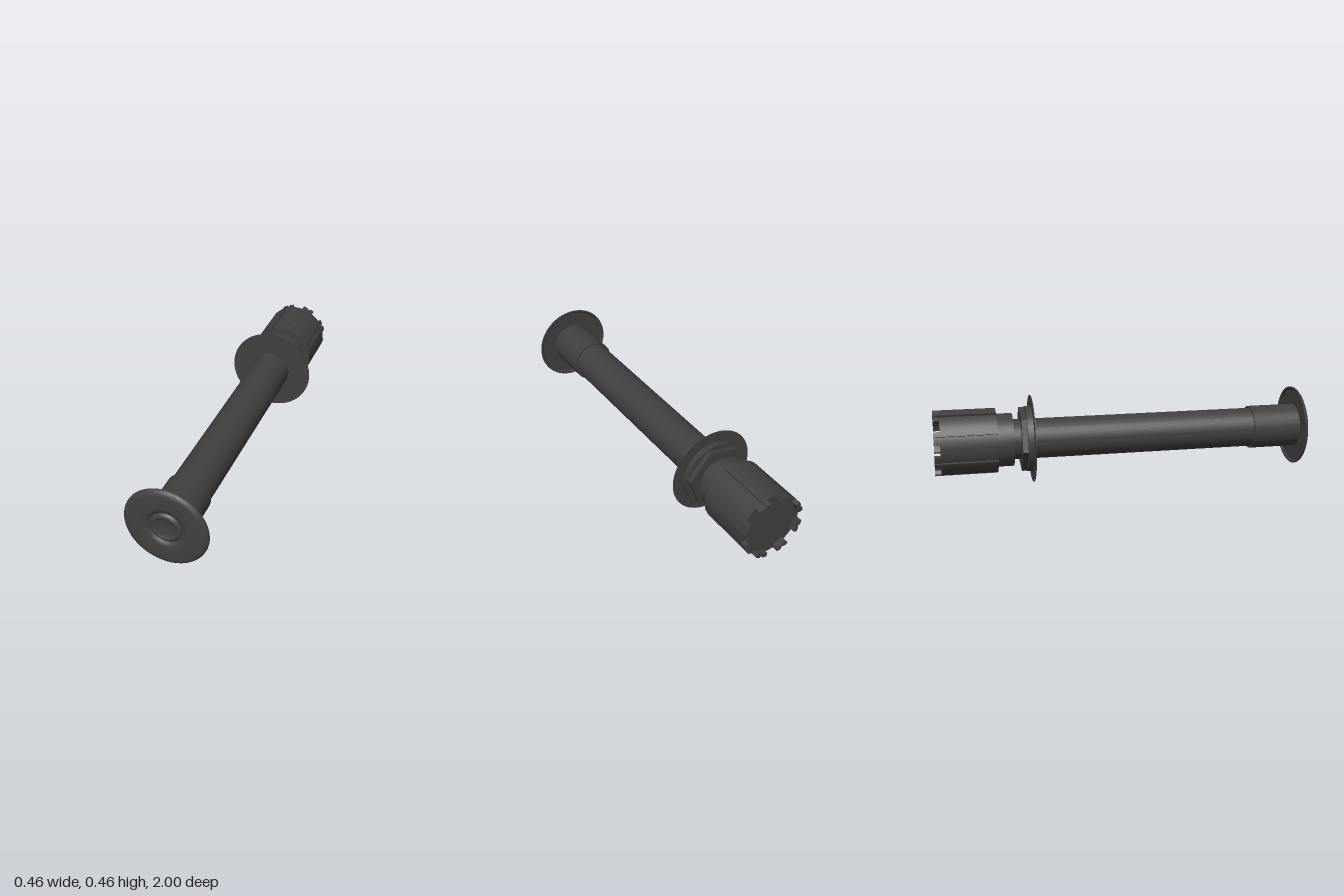
import * as THREE from 'three';
import { toCreasedNormals } from 'three/addons/utils/BufferGeometryUtils.js';

const AXIS_Y = 0.231;

export function createModel() {
  const group = new THREE.Group();
  const darkGrey = new THREE.MeshStandardMaterial({ color: 0x404040 });
  darkGrey.name = 'darkGrey';

  const add = (name, geometry) => {
    const mesh = new THREE.Mesh(toCreasedNormals(geometry, 0.5), darkGrey);
    mesh.name = name;
    mesh.position.y = AXIS_Y;
    group.add(mesh);
  };
  // Turned part: [radius, z] pairs running from the back to the front
  const turned = (name, profile) => {
    const points = profile.map(([r, z]) => new THREE.Vector2(r, z));
    add(name, new THREE.LatheGeometry(points, 72).rotateX(Math.PI / 2));
  };
  const drum = (name, r, z0, z1) => turned(name, [[0, z0], [r, z0], [r, z1], [0, z1]]);
  // Flat outline pushed from z0 to z1
  const extruded = (name, shape, z0, z1) => add(name, new THREE.ExtrudeGeometry(shape,
    { depth: z1 - z0, bevelEnabled: false, curveSegments: 12 }).translate(0, 0, z0));

  // Front plate: hollow back with a lip, rounded rim, dished centre button
  turned('frontPlate', [
    [0, 0.985], [0.198, 0.985], [0.206, 0.977], [0.215, 0.977], [0.215, 0.982],
    [0.212, 0.988], [0.205, 0.994], [0.197, 0.998], [0.188, 1.0],
    [0.115, 1.0], [0.103, 0.998], [0.093, 0.993], [0.083, 0.984],
    [0.081, 0.987], [0.076, 0.993], [0.070, 0.997], [0.064, 0.998],
    [0.056, 0.994], [0.04, 0.990], [0.02, 0.988], [0, 0.987],
  ]);

  // Tube and its stepped sleeve
  drum('sleeve', 0.117, 0.725, 0.986);
  drum('shaft', 0.106, -0.6, 0.73);

  // Sealing washer and flanged hex nut
  drum('washer', 0.231, -0.49, -0.487);
  drum('nutFlange', 0.173, -0.522, -0.489);
  const hex = new THREE.Shape(Array.from({ length: 6 }, (_, i) => {
    const a = THREE.MathUtils.degToRad(11 + i * 60);
    return new THREE.Vector2(0.17 * Math.cos(a), 0.17 * Math.sin(a));
  }));
  extruded('hexNut', hex, -0.55, -0.52);

  // Collar leading into the head
  drum('collar', 0.14, -0.68, -0.59);

  // Head with eight narrow lengthwise grooves
  const STEP = Math.PI / 4;
  const R = 0.171, GROOVE_R = 0.16, HALF = 0.045;
  const outline = new THREE.Shape();
  for (let i = 0; i < 8; i++) {
    const mid = (i + 0.5) * STEP;
    const a = mid - HALF, b = mid + HALF;
    if (i === 0) outline.moveTo(R * Math.cos(a), R * Math.sin(a));
    outline.lineTo(GROOVE_R * Math.cos(a), GROOVE_R * Math.sin(a));
    outline.lineTo(GROOVE_R * Math.cos(b), GROOVE_R * Math.sin(b));
    outline.lineTo(R * Math.cos(b), R * Math.sin(b));
    outline.absarc(0, 0, R, b, mid + STEP - HALF, false);
  }
  extruded('head', outline, -0.967, -0.676);

  // Crown of eight tabs, each a thin wall with a raised lug on both sides of the groove
  const arcWall = (inner, outer, a, b) => {
    const s = new THREE.Shape();
    s.absarc(0, 0, outer, a, b, false);
    s.absarc(0, 0, inner, b, a, true);
    return s;
  };
  for (let i = 0; i < 8; i++) {
    const mid = (i + 0.5) * STEP;
    extruded('crownTab', arcWall(0.148, 0.163, mid - 0.2, mid + 0.2), -1, -0.966);
    for (const side of [-1, 1]) {
      const c = mid + side * 0.125;
      extruded('crownLug', arcWall(0.16, R, c - 0.075, c + 0.075), -1, -0.966);
    }
  }

  return group;
}
